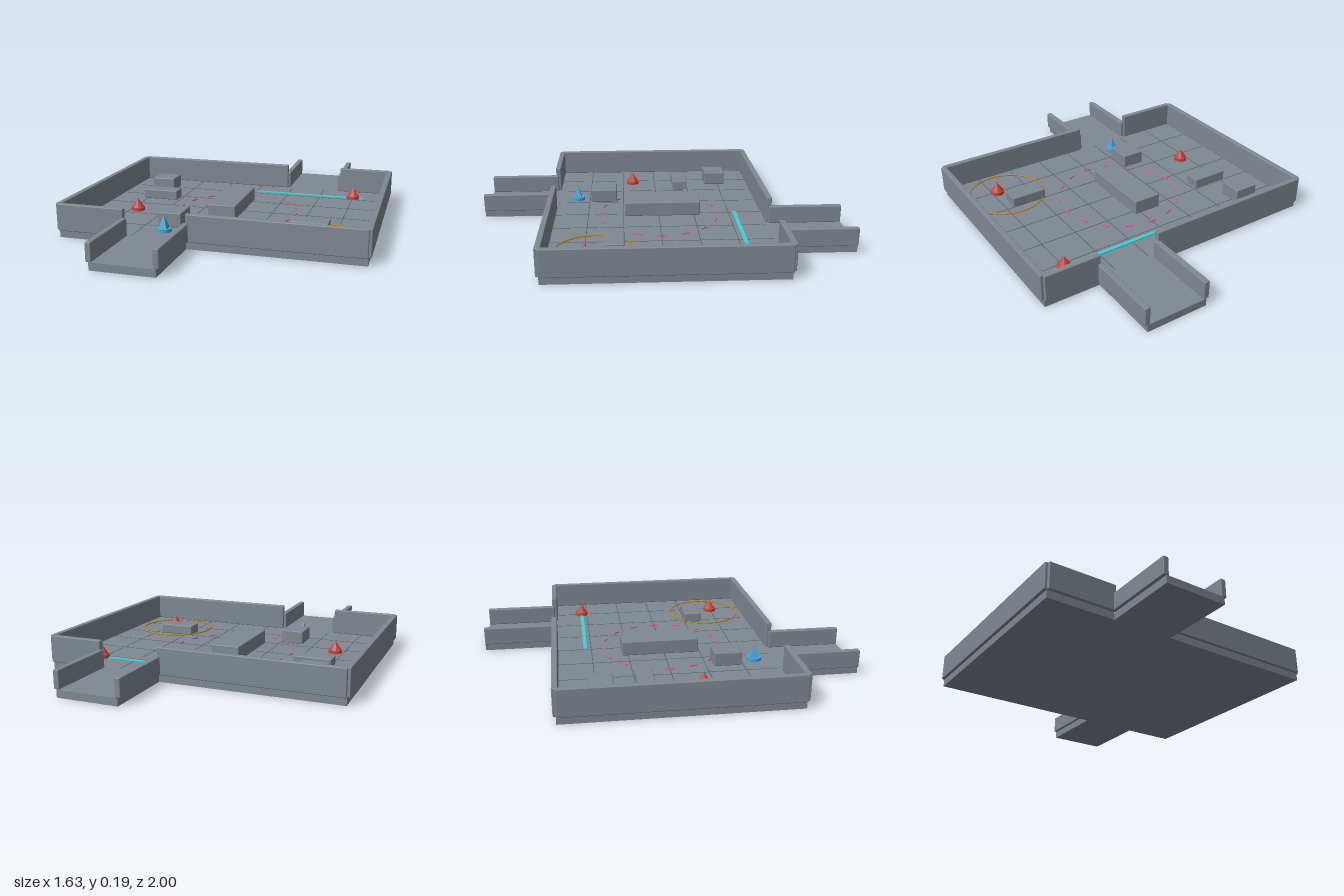
import * as THREE from 'three';
import { RoundedBoxGeometry } from 'three/addons/geometries/RoundedBoxGeometry.js';

const FLOOR = 0.04; // height of the floor surface

export function createModel() {
  const model = new THREE.Group();
  const mat = (name, color) => {
    const m = new THREE.MeshStandardMaterial({ color });
    m.name = name;
    return m;
  };
  const stone = mat('stone grey', 0x7f8892);
  const seam = mat('seam grey', 0x59636c);
  const red = mat('marker red', 0xc4483f);
  const blue = mat('marker blue', 0x4ba3d8);
  const cyan = mat('line cyan', 0x3fd0d8);
  const pink = mat('dash pink', 0xd860a4);
  const gold = mat('ring gold', 0xc08a20);

  const add = (name, geometry, material, x, y, z, parent = model) => {
    const mesh = new THREE.Mesh(geometry, material);
    mesh.name = name;
    mesh.position.set(x, y, z);
    parent.add(mesh);
    return mesh;
  };
  // Box given by its x and z limits, standing at height y
  const block = (name, x0, x1, z0, z1, y, h, material = stone, bevel = 0) => {
    const w = x1 - x0, d = z1 - z0;
    const g = bevel ? new RoundedBoxGeometry(w, h, d, 2, bevel) : new THREE.BoxGeometry(w, h, d);
    return add(name, g, material, (x0 + x1) / 2, y + h / 2, (z0 + z1) / 2);
  };
  const flat = (geometry) => {
    const g = geometry.toNonIndexed();
    g.computeVertexNormals();
    return g;
  };

  // Floors of the room and its two corridors
  const backDoor = [0.167, 0.5], frontDoor = [-0.433, -0.1];
  block('roomFloor', -0.8, 0.8, -0.6, 0.6, 0, FLOOR);
  block('backCorridorFloor', ...backDoor, -1, -0.6, 0, FLOOR);
  block('frontCorridorFloor', ...frontDoor, 0.6, 1, 0, FLOOR);

  // Room walls, centred on the floor edges, open at the doors
  const T = 0.015;
  const wall = (name, x0, x1, z0, z1, h) => block(name, x0, x1, z0, z1, FLOOR, h, stone, 0.005);
  for (const s of [-1, 1]) {
    wall(s < 0 ? 'rightWall' : 'leftWall', s * 0.8 - T, s * 0.8 + T, -0.6, 0.6, 0.145);
  }
  for (const [name, z, door, zEnd] of [['back', -0.6, backDoor, -1], ['front', 0.6, frontDoor, 1]]) {
    wall(name + 'WallRight', -0.8, door[0], z - T, z + T, 0.145);
    wall(name + 'WallLeft', door[1], 0.8, z - T, z + T, 0.145);
    for (const x of door) {
      wall(name + 'CorridorWall', x - T, x + T, Math.min(z, zEnd), Math.max(z, zEnd), 0.097);
    }
  }

  // Tile seams
  for (let i = -3; i <= 3; i++) {
    block('seamAlongZ', i * 0.2 - 0.002, i * 0.2 + 0.002, -0.585, 0.585, FLOOR, 0.001, seam);
  }
  for (let i = -2; i <= 2; i++) {
    block('seamAlongX', -0.785, 0.785, i * 0.2 - 0.002, i * 0.2 + 0.002, FLOOR, 0.0012, seam);
  }

  // Cover blocks: x limits, z limits, height
  const covers = [
    [-0.645, -0.508, -0.443, -0.317, 0.075],
    [-0.62, -0.413, -0.197, -0.108, 0.055],
    [-0.12, 0.037, -0.233, 0.192, 0.08],
    [-0.333, -0.205, 0.24, 0.39, 0.075],
    [0.365, 0.562, 0.198, 0.298, 0.055],
  ];
  for (const [x0, x1, z0, z1, h] of covers) {
    block('coverBlock', x0, x1, z0, z1, FLOOR, h, stone, 0.005);
  }

  // Markers: a faceted cone on a round base
  const marker = (name, material, x, z, sides, radius, height, baseR) => {
    const g = new THREE.Group();
    g.name = name;
    g.position.set(x, FLOOR, z);
    model.add(g);
    add('markerBase', new THREE.CylinderGeometry(baseR, baseR, 0.018, 20), material, 0, 0.009, 0, g);
    const cone = flat(new THREE.ConeGeometry(radius, height, sides));
    add('markerCone', cone, material, 0, 0.018 + height / 2, 0, g).rotation.y = Math.PI / sides;
  };
  marker('blueMarker', blue, -0.267, 0.473, 4, 0.032, 0.07, 0.04);
  for (const [x, z] of [[0.6, -0.433], [-0.555, 0.14], [0.57, 0.395]]) {
    marker('redMarker', red, x, z, 8, 0.034, 0.052, 0.038);
  }

  // Straight line across the floor
  block('cyanLine', 0, 0.667, -0.443, -0.423, FLOOR, 0.006, cyan);

  // Circle of dashes around the middle
  for (let i = 0; i < 16; i++) {
    const a = (i / 16) * Math.PI * 2;
    const dash = add('pinkDash', new THREE.BoxGeometry(0.045, 0.006, 0.008), pink,
      Math.sin(a) * 0.335, FLOOR + 0.003, Math.cos(a) * 0.335);
    dash.rotation.y = a;
  }

  // Ring around the front left cover block
  const ring = new THREE.TorusGeometry(0.213, 0.004, 6, 64);
  ring.rotateX(Math.PI / 2);
  add('goldRing', ring, gold, 0.533, FLOOR + 0.005, 0.347);

  return model;
}
